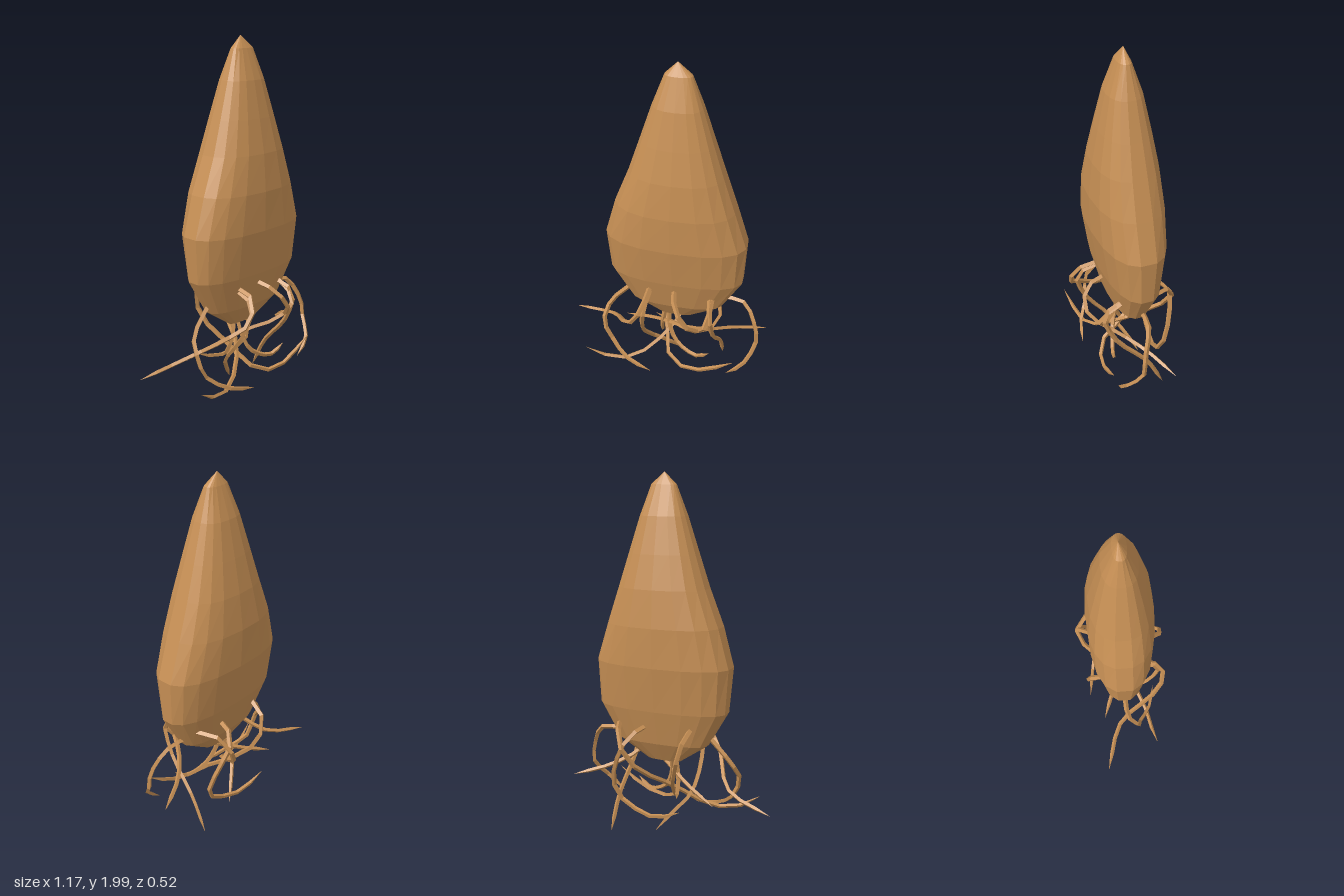
import * as THREE from 'three';

const tan = new THREE.MeshStandardMaterial({ color: 0xc68f54, flatShading: true });
tan.name = 'tan';

// Bulb: flattened rings [y, centre x, half width, half depth]
const RINGS = [
  [0.43, 0.06, 0.1, 0.03], [0.54, 0.065, 0.265, 0.09], [0.735, 0.065, 0.375, 0.138],
  [0.985, 0.06, 0.39, 0.177], [1.2, 0.055, 0.325, 0.182], [1.4, 0.06, 0.252, 0.163],
  [1.58, 0.06, 0.193, 0.13], [1.775, 0.06, 0.13, 0.09], [1.935, 0.06, 0.07, 0.035],
];

function bulbGeometry(sides = 18) {
  const pos = [], index = [];
  const bend = v => Math.sign(v) * Math.abs(v) ** 0.8;
  for (const [y, cx, w, d] of RINGS) {
    for (let i = 0; i < sides; i++) {
      const a = (i + 0.5) / sides * Math.PI * 2;
      pos.push(cx + w * bend(Math.cos(a)), y, -0.005 + d * bend(Math.sin(a)));
    }
  }
  const bottom = pos.length / 3, top = bottom + 1, last = (RINGS.length - 1) * sides;
  pos.push(0.06, 0.425, -0.005, 0.055, 2, -0.01);
  for (let i = 0; i < sides; i++) {
    const j = (i + 1) % sides;
    for (let r = 0; r < last; r += sides) {
      index.push(r + i, r + sides + i, r + j, r + j, r + sides + i, r + sides + j);
    }
    index.push(bottom, i, j, top, last + j, last + i);
  }
  const g = new THREE.BufferGeometry();
  g.setAttribute('position', new THREE.Float32BufferAttribute(pos, 3));
  g.setIndex(index);
  g.computeVertexNormals();
  return g;
}

// Root: thin four-sided tube along a path, narrowing to a point
function rootGeometry(points) {
  const curve = new THREE.CatmullRomCurve3(points.map(p => new THREE.Vector3(...p)), false, 'centripetal');
  const segments = 10, sides = 4;
  const g = new THREE.TubeGeometry(curve, segments, 0.015, sides);
  const pos = g.attributes.position, v = new THREE.Vector3();
  for (let i = 0; i < pos.count; i++) {
    const t = Math.floor(i / (sides + 1)) / segments;
    const c = curve.getPointAt(t);
    const k = t === 1 ? 0.05 : 1 - 0.25 * t;
    v.fromBufferAttribute(pos, i).sub(c).multiplyScalar(k).add(c);
    pos.setXYZ(i, v.x, v.y, v.z);
  }
  g.computeVertexNormals();
  return g;
}

const FRONT_ROOTS = [
  [[-0.07, 0.67, 0.1], [-0.08, 0.64, 0.21], [-0.13, 0.53, 0.24], [-0.2, 0.46, 0.18], [-0.33, 0.31, -0.03], [-0.59, 0.24, -0.12]],
  [[-0.07, 0.65, 0.1], [-0.08, 0.6, 0.21], [-0.1, 0.42, 0.16], [-0.09, 0.24, 0.02], [0, 0.13, -0.06], [0.07, 0.04, -0.11]],
  [[0.07, 0.68, 0.1], [0.1, 0.64, 0.22], [0.18, 0.53, 0.24], [0.28, 0.41, 0.08], [0.4, 0.35, -0.03], [0.58, 0.3, -0.12]],
  [[0.27, 0.63, 0.08], [0.285, 0.58, 0.18], [0.3, 0.4, 0.12], [0.32, 0.2, -0.06], [0.325, 0.01, -0.16]],
  [[0.28, 0.63, 0.08], [0.27, 0.54, 0.2], [0.2, 0.44, 0.15], [0.05, 0.38, 0.04], [-0.1, 0.31, -0.05], [-0.27, 0.24, -0.12]],
];
const BACK_ROOTS = [
  [[0.3, 0.64, -0.08], [0.24, 0.62, -0.22], [0.19, 0.5, -0.25], [0.1, 0.38, -0.15], [0.02, 0.28, 0], [-0.17, 0.14, 0.13], [-0.31, 0.14, 0.16], [-0.44, 0.21, 0.19]],
  [[-0.13, 0.65, -0.09], [-0.11, 0.57, -0.2], [-0.07, 0.42, -0.18], [0, 0.28, -0.04], [0.04, 0.18, 0.1], [0.16, 0.14, 0.16], [0.29, 0.18, 0.17], [0.43, 0.27, 0.18]],
  [[0.13, 0.64, -0.09], [0.18, 0.6, -0.23], [0.28, 0.4, -0.2], [0.29, 0.26, -0.16], [0.22, 0.19, -0.15], [0.05, 0.15, -0.18], [-0.11, 0.21, -0.2]],
];
const SIDE_ROOTS = [
  [[0.31, 0.58, -0.02], [0.45, 0.57, -0.01], [0.53, 0.43, 0.04], [0.54, 0.33, 0.05], [0.48, 0.22, 0.13], [0.39, 0.14, 0.14]],
  [[-0.19, 0.6, 0], [-0.33, 0.44, 0.02], [-0.355, 0.34, 0.08], [-0.31, 0.23, 0.09], [-0.2, 0.15, 0.16], [-0.05, 0.115, 0.2]],
];
const BOTTOM_ROOTS = [
  [[0.02, 0.46, 0], [0.03, 0.35, 0.03], [0.08, 0.25, 0.06], [0.2, 0.2, 0.1], [0.28, 0.25, 0.12]],
  [[0, 0.46, 0], [-0.02, 0.33, 0], [-0.03, 0.22, -0.05]],
];

export function createModel() {
  const model = new THREE.Group();
  const add = (geometry, name) => {
    const mesh = new THREE.Mesh(geometry, tan);
    mesh.name = name;
    model.add(mesh);
  };
  add(bulbGeometry(), 'bulb');
  const sets = { frontRoot: FRONT_ROOTS, backRoot: BACK_ROOTS, sideRoot: SIDE_ROOTS, bottomRoot: BOTTOM_ROOTS };
  for (const [name, paths] of Object.entries(sets)) {
    paths.forEach((path, i) => add(rootGeometry(path), name + (i + 1)));
  }
  return model;
}
